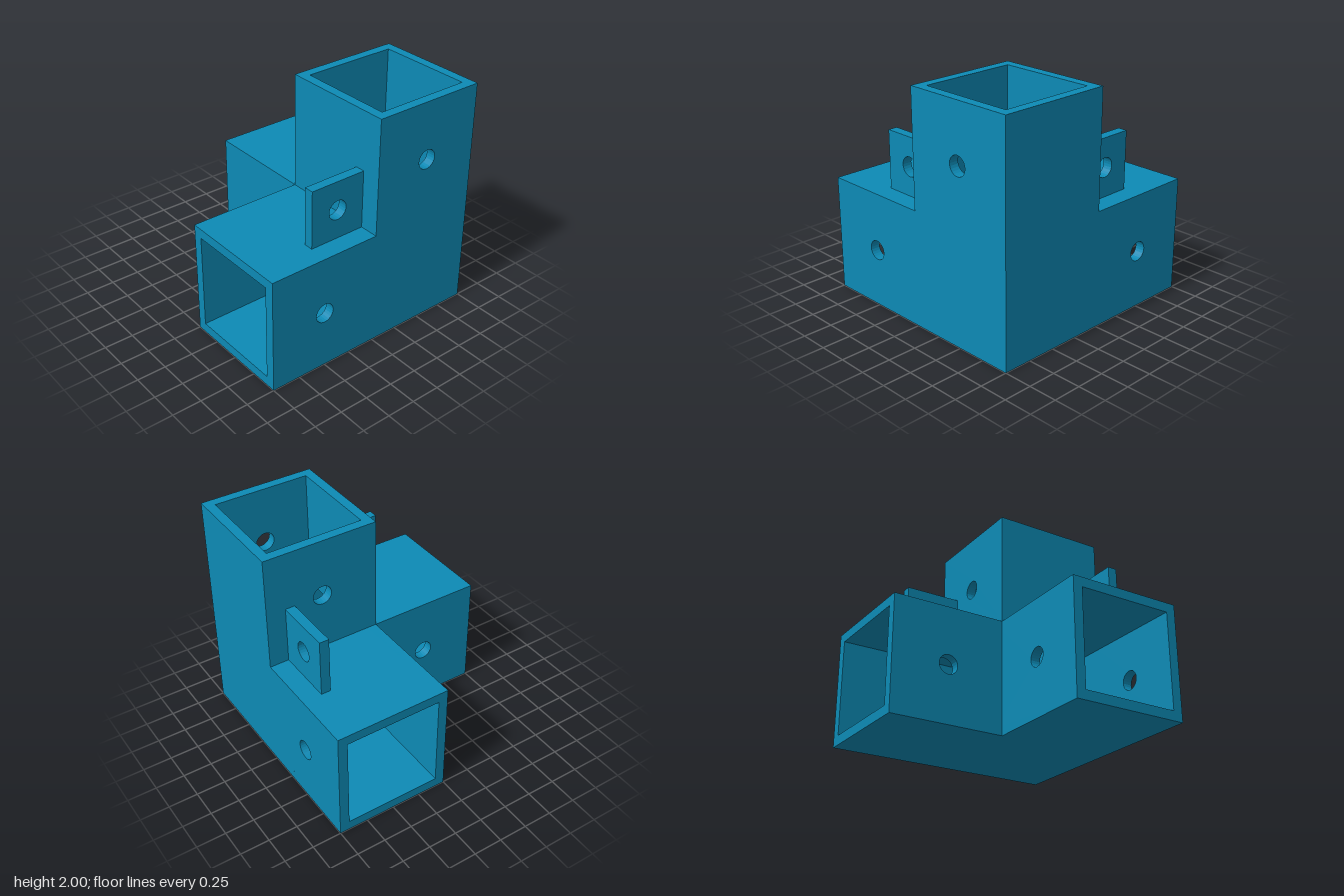
import * as THREE from 'three';

const W = 1 / 12; // wall thickness, also the bolt hole radius
const material = new THREE.MeshStandardMaterial({ color: 0x0d8ab5, flatShading: true });

function polygon(points, Type = THREE.Shape) {
  return new Type(points.map(([x, y]) => new THREE.Vector2(x, y)));
}

function roundHole([x, y]) {
  return new THREE.Path().absarc(x, y, W, 0, Math.PI * 2, true);
}

function plate(shape, holes) {
  shape.holes.push(...holes);
  return new THREE.ExtrudeGeometry(shape, { depth: W, bevelEnabled: false, curveSegments: 12 });
}

// L-shaped wall shared by two arms and the corner cube; inner walls have a square opening
function wall(boltHoles, inner) {
  const holes = boltHoles.map(roundHole);
  const a = W, b = 1 - W;
  if (inner) holes.push(polygon([[a, a], [a, b], [b, b], [b, a]], THREE.Path));
  return plate(polygon([[-1, 0], [1, 0], [1, 2], [0, 2], [0, 1], [-1, 1]]), holes);
}

// Square lug with one round hole
function lug() {
  return plate(polygon([[-0.5, 1], [0, 1], [0, 1.5], [-0.5, 1.5]]), [roundHole([-0.25, 1.25])]);
}

// Turn a plate so its thickness runs along x, y or z, starting at the given position
const place = {
  x: (g, p) => g.rotateY(-Math.PI / 2).translate(p + W, 0, 0),
  y: (g, p) => g.rotateX(-Math.PI / 2).translate(0, p, 1),
  z: (g, p) => g.translate(0, 0, p),
};

export function createModel() {
  const model = new THREE.Group();
  model.name = 'cornerConnector';
  const add = (name, geometry) => {
    const mesh = new THREE.Mesh(geometry, material);
    mesh.name = name;
    model.add(mesh);
  };

  // Three pairs of walls form three square sockets meeting in a hollow corner
  const sideBolt = [-0.5, 0.5], topBolt = [0.5, 1.5];
  add('frontWall', place.z(wall([sideBolt, topBolt], false), 1 - W));
  add('innerBackWall', place.z(wall([sideBolt, topBolt], true), 0));
  add('leftWall', place.x(wall([sideBolt], false), 1 - W));
  add('innerRightWall', place.x(wall([sideBolt], true), 0));
  add('floor', place.y(wall([], false), 0));
  add('ceiling', place.y(wall([], true), 1 - W));

  // Mounting lugs beside the upright socket
  add('sideLug', place.z(lug(), 0.75));
  add('backLug', place.x(lug(), 0.75));
  return model;
}
